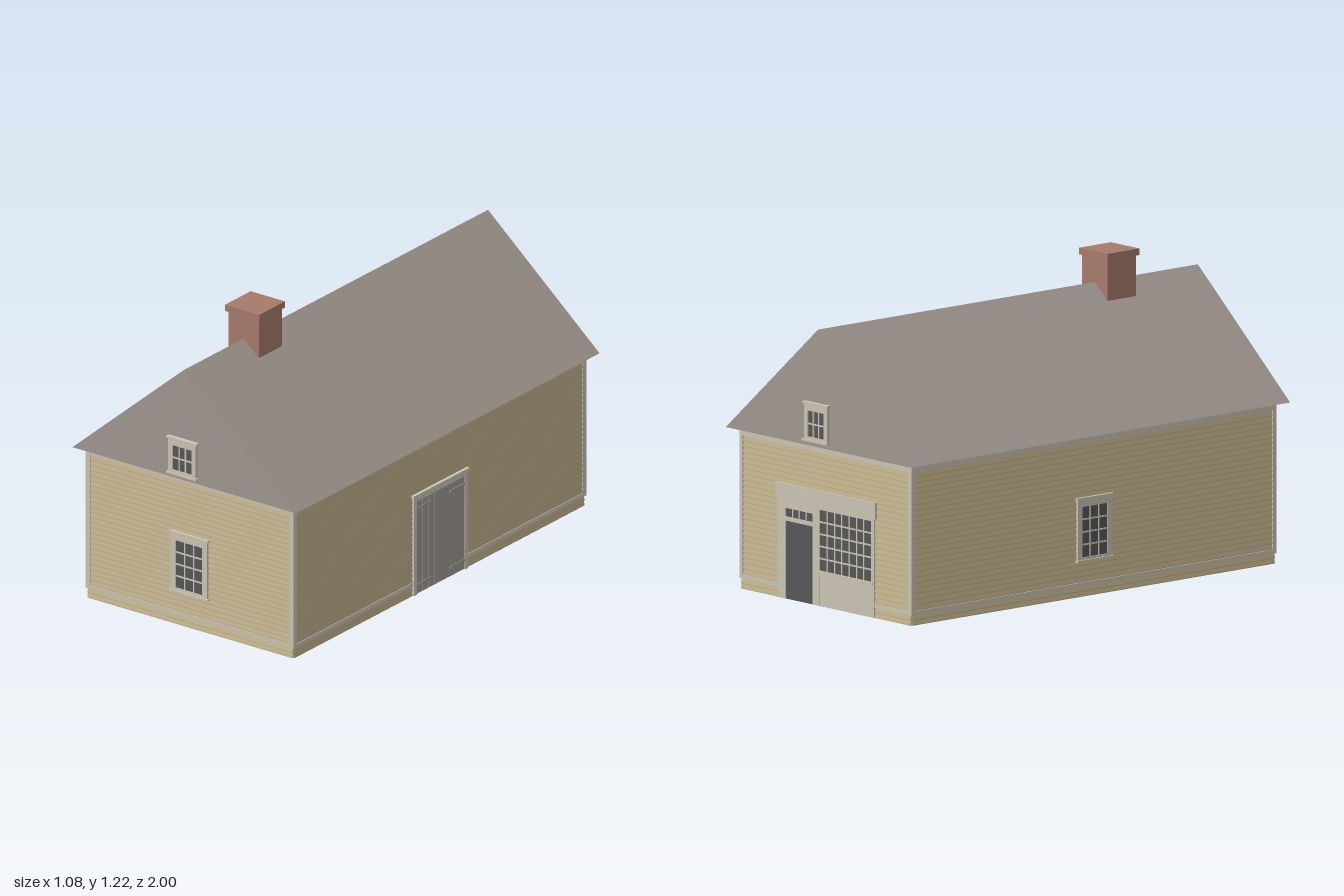
import * as THREE from 'three';

const paint = (name, color, side = THREE.FrontSide) => {
  const m = new THREE.MeshStandardMaterial({ color, side });
  m.name = name;
  return m;
};

export function createModel() {
  const siding = paint('tan siding', 0xbaab86, THREE.DoubleSide);
  const trim = paint('cream trim', 0xcbc4b4);
  const slate = paint('grey roof and doors', 0xa09890);
  const brick = paint('red brick', 0xa67a6b);
  const glass = paint('dark glass', 0x565656);

  const HX = 0.495, HZ = 0.935; // wall half sizes
  const house = new THREE.Group();
  house.name = 'house';

  const add = (parent, name, geometry, material) => {
    const mesh = new THREE.Mesh(geometry, material);
    mesh.name = name;
    parent.add(mesh);
    return mesh;
  };
  // Box given by its limits on each axis
  const box = (parent, name, mat, x0, x1, y0, y1, z0, z1) => {
    const m = add(parent, name, new THREE.BoxGeometry(x1 - x0, y1 - y0, z1 - z0), mat);
    m.position.set((x0 + x1) / 2, (y0 + y1) / 2, (z0 + z1) / 2);
    return m;
  };
  const group = (parent, name) => {
    const g = new THREE.Group();
    g.name = name;
    parent.add(g);
    return g;
  };
  // Facade space: x along the wall, y up, z outward from the wall plane
  const facade = (name, angle, dist) => {
    const g = group(house, name);
    g.rotation.y = angle;
    g.position.set(Math.sin(angle) * dist, 0, Math.cos(angle) * dist);
    return g;
  };

  // Glass with a grid of glazing bars in front
  const glazing = (parent, x0, x1, y0, y1, cols, rows, z, bar = 0.006) => {
    box(parent, 'glass', glass, x0, x1, y0, y1, z - 0.004, z);
    for (let i = 1; i < cols; i++) {
      const x = x0 + (x1 - x0) * i / cols;
      box(parent, 'glazingBar', trim, x - bar / 2, x + bar / 2, y0, y1, z, z + 0.003);
    }
    for (let i = 1; i < rows; i++) {
      const y = y0 + (y1 - y0) * i / rows;
      box(parent, 'glazingBar', trim, x0, x1, y - bar / 2, y + bar / 2, z, z + 0.003);
    }
  };
  // Rectangular frame around an opening
  const surround = (parent, X, x, y0, y1, p0, p1, z0, z1) => {
    for (const s of [-1, 1]) {
      const a = s * x, b = s * X;
      box(parent, 'frameSide', trim, Math.min(a, b), Math.max(a, b), y0, y1, z0, z1);
    }
    box(parent, 'frameTop', trim, -x, x, p1, y1, z0, z1);
    if (p0 > y0) box(parent, 'frameBottom', trim, -x, x, y0, p0, z0, z1);
  };
  const sashWindow = (wall, W, w, y0, y1, p0, p1, cols, rows) => {
    const g = group(wall, 'window');
    surround(g, W, w, y0, y1, p0, p1, -0.005, 0.014);
    glazing(g, -w, w, p0, p1, cols, rows, 0.009);
    box(g, 'windowHead', trim, -W - 0.006, W + 0.006, y1 - 0.006, y1 + 0.002, 0, 0.018);
    box(g, 'windowSill', trim, -W - 0.006, W + 0.006, y0 - 0.002, y0 + 0.006, 0, 0.02);
  };

  // Hollow body, open underneath, with a ceiling
  const body = new THREE.BoxGeometry(HX * 2, 0.605, HZ * 2);
  body.setIndex([...body.index.array].filter((_, i) => i < 18 || i >= 24));
  add(house, 'walls', body, siding).position.y = 0.3025;

  // Lapped boards as one saw-tooth profile extruded along the wall
  const clapboards = (wall, half, y0, y1, count) => {
    const s = new THREE.Shape();
    const h = (y1 - y0) / count;
    s.moveTo(0, y0);
    for (let i = 0; i < count; i++) {
      s.lineTo(0.0065, y0 + i * h);
      s.lineTo(0.0065, y0 + i * h + 0.003);
      s.lineTo(0.001, y0 + (i + 1) * h);
    }
    s.lineTo(0, y1);
    const geo = new THREE.ExtrudeGeometry(s, { depth: half * 2, bevelEnabled: false });
    geo.rotateY(-Math.PI / 2).translate(half, 0, 0);
    add(wall, 'clapboards', geo, siding);
  };

  const [front, right, back, left] = [
    ['frontWall', 0, HZ, HX], ['doorWall', Math.PI / 2, HX, HZ],
    ['shopWall', Math.PI, HZ, HX], ['windowWall', -Math.PI / 2, HX, HZ],
  ].map(([name, angle, dist, half]) => {
    const wall = facade(name, angle, dist);
    const e = half + 0.008;
    clapboards(wall, half - 0.005, 0.057, 0.605, 25);
    clapboards(wall, half, 0, 0.04, 2);
    box(wall, 'frieze', trim, -e, e, 0.605, 0.635, -0.01, 0.008);
    box(wall, 'baseBoard', trim, -e, e, 0.04, 0.056, 0, 0.008);
    box(wall, 'cornerBoard', trim, -e, -half + 0.012, 0.05, 0.61, 0, 0.008);
    box(wall, 'cornerBoard', trim, half - 0.012, e, 0.05, 0.61, 0, 0.008);
    return wall;
  });

  // Sash windows
  for (const wall of [front, left]) sashWindow(wall, 0.088, 0.065, 0.14, 0.39, 0.155, 0.355, 3, 4);
  for (const angle of [0, Math.PI]) {
    sashWindow(facade('gable', angle, 0.98), 0.067, 0.046, 0.657, 0.808, 0.673, 0.776, 3, 2);
  }

  // Double plank door with strap hinges
  const barnDoor = group(right, 'plankDoor');
  surround(barnDoor, 0.174, 0.156, 0, 0.412, 0, 0.393, 0, 0.013);
  box(barnDoor, 'doorHead', trim, -0.18, 0.18, 0.411, 0.422, 0, 0.017);
  for (let i = 0; i < 8; i++) {
    const x = -0.156 + i * 0.039;
    box(barnDoor, 'plank', slate, x + 0.0008, x + 0.0382, 0.003, 0.393, 0, 0.01);
  }
  box(barnDoor, 'doorBack', slate, -0.156, 0.156, 0.003, 0.393, 0, 0.008);
  for (const s of [-1, 1]) for (const y of [0.04, 0.36]) {
    const a = s * 0.06, b = s * 0.156;
    box(barnDoor, 'strapHinge', slate, Math.min(a, b), Math.max(a, b), y - 0.005, y + 0.005, 0.01, 0.013);
  }

  // Shop front with entrance, transom and display window
  const shop = group(back, 'shopFront');
  box(shop, 'header', trim, -0.285, 0.297, 0.39, 0.455, 0, 0.014);
  box(shop, 'leftPost', trim, -0.275, -0.23, 0, 0.39, 0, 0.011);
  box(shop, 'middlePost', trim, -0.07, -0.03, 0, 0.39, 0, 0.011);
  box(shop, 'rightPost', trim, 0.27, 0.287, 0, 0.39, 0, 0.011);
  box(shop, 'lowerPanel', trim, -0.03, 0.27, 0, 0.14, 0, 0.01);
  box(shop, 'shopSill', trim, -0.035, 0.28, 0.125, 0.14, 0, 0.015);
  box(shop, 'entranceDoor', glass, -0.23, -0.07, 0, 0.31, 0, 0.0085);
  box(shop, 'transomRail', trim, -0.23, -0.07, 0.308, 0.325, 0, 0.011);
  box(shop, 'transomTop', trim, -0.23, -0.07, 0.358, 0.39, 0, 0.011);
  glazing(shop, -0.23, -0.07, 0.325, 0.358, 4, 1, 0.0075);
  box(shop, 'windowTopRail', trim, -0.03, 0.27, 0.38, 0.39, 0, 0.011);
  glazing(shop, -0.03, 0.27, 0.14, 0.38, 7, 5, 0.0075);

  // Gabled roof
  const gable = new THREE.Shape();
  gable.moveTo(-0.54, 0.635);
  gable.lineTo(0.54, 0.635);
  gable.lineTo(0, 1.1);
  gable.closePath();
  const roof = new THREE.ExtrudeGeometry(gable, { depth: 1.96, bevelEnabled: false });
  add(house, 'roof', roof.translate(0, 0, -0.98), slate);

  // Chimney
  box(house, 'chimney', brick, -0.074, 0.074, 1.0, 1.2, 0.448, 0.596);
  box(house, 'chimneyCap', brick, -0.083, 0.083, 1.198, 1.224, 0.439, 0.605);

  return house;
}
